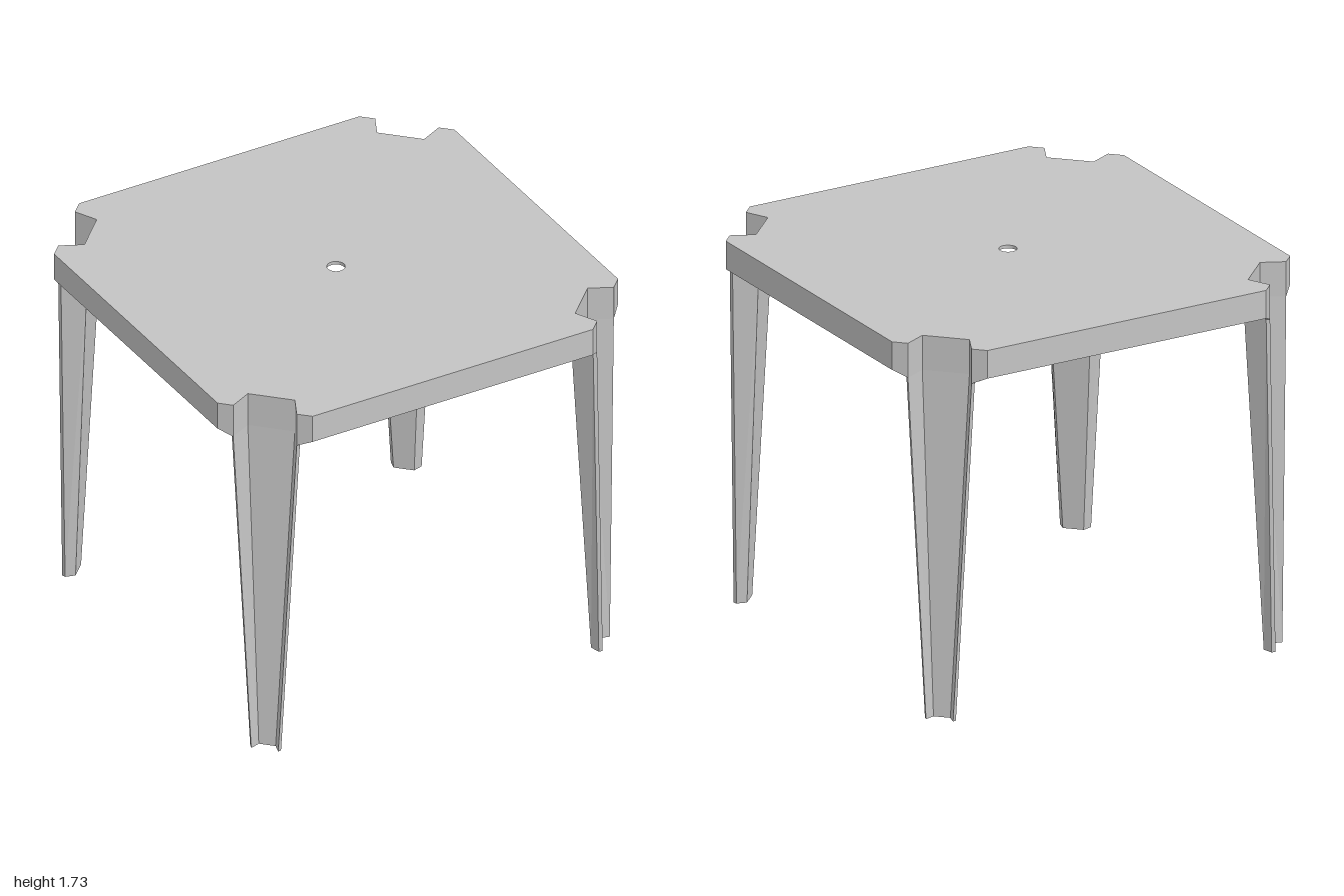
import * as THREE from 'three';

const TOP = 1.73, RIM = 1.6, HIP = 1.57, T = 0.015;

// One corner of the sheet outline as [x, z]: chamfer end, four channel points, chamfer end
const CORNER = [[1, 0.7], [0.95, 0.75], [0.848, 0.7], [0.7, 0.848], [0.75, 0.95], [0.7, 1]];
// The same corner at floor level, where the leg channel is narrower
const FOOT = [[1, 0.7], [0.895, 0.81], [0.85, 0.797], [0.797, 0.85], [0.81, 0.895], [0.7, 1]];

// Repeat a corner around the four sides
function ring(corner) {
  const pts = [];
  for (let k = 0; k < 4; k++) {
    for (let [x, z] of corner) {
      for (let r = 0; r < k; r++) [x, z] = [-z, x];
      pts.push(new THREE.Vector2(x, z));
    }
  }
  return pts;
}

// Mitred inward offset of a closed outline
function inset(pts, t) {
  const n = pts.length;
  const normal = (a, b) => {
    const d = b.clone().sub(a).normalize();
    return new THREE.Vector2(-d.y, d.x);
  };
  return pts.map((p, i) => {
    const n1 = normal(pts[(i + n - 1) % n], p);
    const n2 = normal(p, pts[(i + 1) % n]);
    return n1.clone().add(n2).multiplyScalar(t / (1 + n1.dot(n2))).add(p);
  });
}

const at = (p, y) => [p.x, y, p.y];

function quadMesh(name, quads, material) {
  const pos = [];
  for (const [a, b, c, d] of quads) pos.push(...a, ...b, ...c, ...a, ...c, ...d);
  const geo = new THREE.BufferGeometry();
  geo.setAttribute('position', new THREE.Float32BufferAttribute(pos, 3));
  geo.computeVertexNormals();
  const mesh = new THREE.Mesh(geo, material);
  mesh.name = name;
  return mesh;
}

export function createModel() {
  const plastic = new THREE.MeshStandardMaterial({ color: 0xc4c4c4 });
  plastic.name = 'grey plastic';
  plastic.flatShading = true;
  plastic.side = THREE.DoubleSide;

  const group = new THREE.Group();
  group.name = 'stool';
  const outer = ring(CORNER), inner = inset(outer, T);
  const footOuter = ring(FOOT), footInner = inset(footOuter, T);
  const n = outer.length;

  // Seat plate with a round drain hole
  const shape = new THREE.Shape(outer);
  const hole = new THREE.Path();
  hole.absarc(0, 0, 0.04, 0, Math.PI * 2, true);
  shape.holes.push(hole);
  const plate = new THREE.ExtrudeGeometry(shape, { depth: T, bevelEnabled: false, curveSegments: 16 });
  plate.rotateX(-Math.PI / 2).translate(0, TOP - T, 0);
  const seat = new THREE.Mesh(plate, plastic);
  seat.name = 'seat';
  group.add(seat);

  // Rim skirt, dipping at the corners to meet the legs
  const top = TOP - T;
  const low = (i) => (i % 6 === 0 || i % 6 === 5 ? RIM : HIP);
  const rim = [];
  for (let i = 0; i < n; i++) {
    const j = (i + 1) % n, yi = low(i), yj = low(j);
    rim.push([at(outer[i], yi), at(outer[i], top), at(outer[j], top), at(outer[j], yj)]);
    rim.push([at(inner[i], yi), at(inner[j], yj), at(inner[j], top), at(inner[i], top)]);
    const isLeg = i % 6 >= 1 && i % 6 <= 3;
    if (!isLeg) rim.push([at(outer[i], yi), at(outer[j], yj), at(inner[j], yj), at(inner[i], yi)]);
  }
  group.add(quadMesh('rim', rim, plastic));

  // Tapered channel legs, open towards the outside
  for (let k = 0; k < 4; k++) {
    const leg = [];
    const a = 6 * k + 1, d = a + 3;
    for (let i = a; i < d; i++) {
      const j = i + 1;
      leg.push([at(footOuter[i], 0), at(outer[i], HIP), at(outer[j], HIP), at(footOuter[j], 0)]);
      leg.push([at(footInner[i], 0), at(footInner[j], 0), at(inner[j], HIP), at(inner[i], HIP)]);
      leg.push([at(footOuter[i], 0), at(footOuter[j], 0), at(footInner[j], 0), at(footInner[i], 0)]);
    }
    leg.push([at(footOuter[a], 0), at(footInner[a], 0), at(inner[a], HIP), at(outer[a], HIP)]);
    leg.push([at(footOuter[d], 0), at(outer[d], HIP), at(inner[d], HIP), at(footInner[d], 0)]);
    group.add(quadMesh(['frontLeftLeg', 'frontRightLeg', 'backRightLeg', 'backLeftLeg'][k], leg, plastic));
  }
  return group;
}
